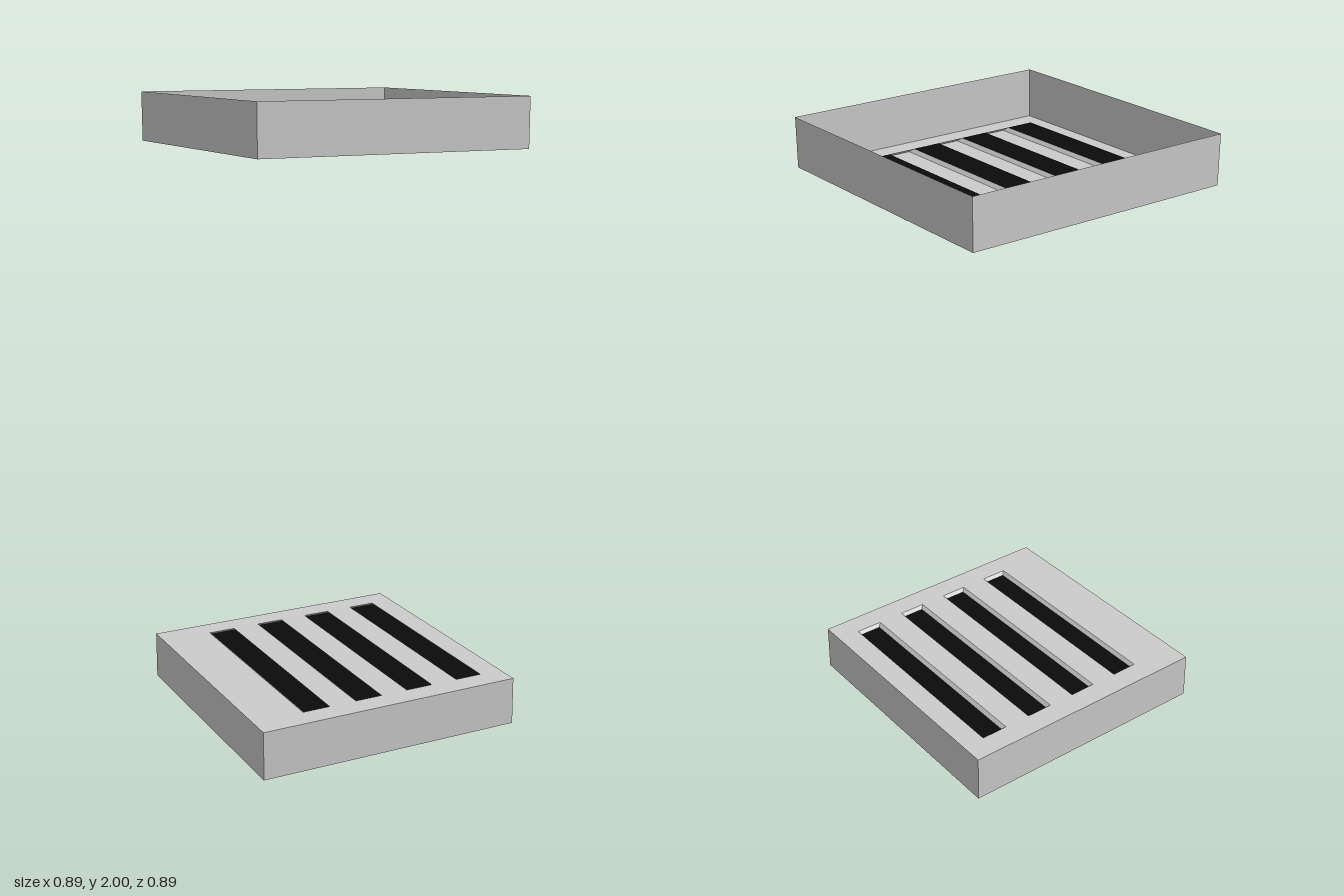
import * as THREE from 'three';

const HALF = 0.444;    // half width of a tray
const WALL = 0.155;    // tray height
const OPEN = 0.367;    // half width of the grille opening
const SHIFT = -0.0115; // sideways slant of the raised slats
const RISE = 0.01;     // height of the raised slats above the floor
const STRIPS = 8;

const grey = new THREE.MeshStandardMaterial({ color: 0xcccccc, side: THREE.DoubleSide, flatShading: true });
const black = new THREE.MeshStandardMaterial({ color: 0x0a0a0a, side: THREE.DoubleSide, flatShading: true });

function add(group, name, geometry, material) {
  const mesh = new THREE.Mesh(geometry, material);
  mesh.name = name;
  group.add(mesh);
  return mesh;
}

// Four-cornered face, corners in order
function quad(a, b, c, d) {
  const g = new THREE.BufferGeometry();
  g.setAttribute('position', new THREE.Float32BufferAttribute([a, b, c, d].flat(), 3));
  g.setIndex([0, 1, 2, 0, 2, 3]);
  g.computeVertexNormals();
  return g;
}

// Points of the grille at floor level and at the raised, slanted level
const low = (x, z) => [x, 0, z];
const high = (x, z) => [x + SHIFT, RISE, z + SHIFT];

function makeTray(name) {
  const tray = new THREE.Group();
  tray.name = name;

  // Thin outer walls
  const walls = new THREE.CylinderGeometry(HALF * Math.SQRT2, HALF * Math.SQRT2, WALL, 4, 1, true, Math.PI / 4);
  walls.translate(0, WALL / 2, 0);
  add(tray, 'walls', walls, grey);

  // Floor border around the grille
  const square = (path, r) => path.moveTo(-r, -r).lineTo(r, -r).lineTo(r, r).lineTo(-r, r).closePath();
  const border = square(new THREE.Shape(), HALF);
  border.holes.push(square(new THREE.Path(), OPEN));
  add(tray, 'floorBorder', new THREE.ShapeGeometry(border).rotateX(-Math.PI / 2), grey);

  // Alternating raised black slats and flush grey bars
  const step = (2 * OPEN) / STRIPS;
  for (let i = 0; i < STRIPS; i++) {
    const x0 = -OPEN + i * step, x1 = x0 + step;
    const at = i % 2 === 0 ? high : low;
    add(tray, i % 2 === 0 ? 'blackSlat' : 'greyBar',
      quad(at(x0, OPEN), at(x1, OPEN), at(x1, -OPEN), at(x0, -OPEN)),
      i % 2 === 0 ? black : grey);
  }

  // Slanted rims between the two levels
  for (let i = 0; i <= STRIPS; i++) {
    const x = -OPEN + i * step;
    add(tray, 'slatRim', quad(low(x, OPEN), low(x, -OPEN), high(x, -OPEN), high(x, OPEN)), grey);
  }
  for (const z of [-OPEN, OPEN])
    add(tray, 'endRim', quad(low(-OPEN, z), low(OPEN, z), high(OPEN, z), high(-OPEN, z)), grey);

  return tray;
}

export function createModel() {
  const model = new THREE.Group();
  model.name = 'ventTrays';

  // Upper tray opens upward
  const upper = makeTray('upperTray');
  upper.position.y = 2 - WALL;

  // Lower tray is turned over and opens downward
  const lower = makeTray('lowerTray');
  lower.rotation.z = Math.PI;
  lower.position.y = WALL;

  model.add(upper, lower);
  return model;
}
